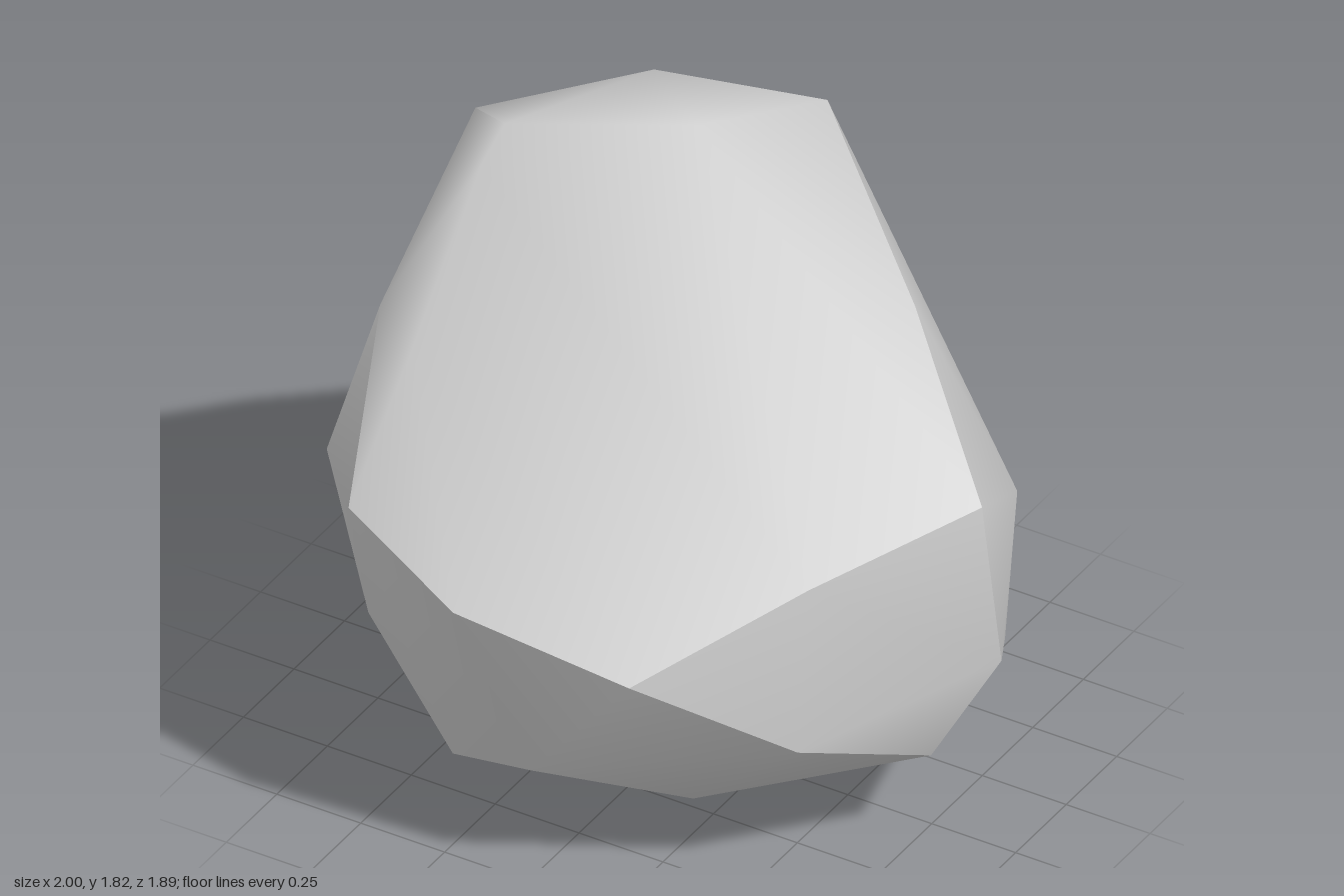
import * as THREE from 'three';
import { ConvexGeometry } from 'three/addons/geometries/ConvexGeometry.js';

// Named corners of the boulder: x, y, z
const corners = {
  // crown
  top: [-0.45, 1.82, 0.12], topFront: [-0.45, 1.76, 0.24], topMid: [-0.03, 1.81, -0.14],
  topBack: [-0.27, 1.79, -0.32], topRight: [-0.61, 1.74, 0], peak: [0.12, 1.71, -0.53],
  // front
  cheek: [-0.43, 1.42, 0.61], temple: [-0.58, 1.45, 0.52], brow: [-0.47, 1.06, 0.86],
  nose: [-0.11, 0.91, 0.94], frontTip: [0.36, 0.79, 0.85], chin: [0.03, 0.38, 0.79],
  jaw: [0.34, 0.23, 0.5],
  // left
  chipTop: [0.66, 0.97, 0.46], chipLow: [0.67, 0.51, 0.53], chipBack: [1, 0.64, 0.07],
  leftLow: [0.82, 0.31, 0.12], leftTip: [0.93, 1.08, 0.05], ridge: [0.55, 1.39, -0.25],
  leftBulge: [0.77, 0.81, -0.39],
  // back
  backRidge: [-0.17, 1.36, -0.8], backTip: [-0.47, 0.91, -0.95], backMid: [-0.04, 0.72, -0.95],
  backLow: [0.42, 0.5, -0.77], backSide: [0.74, 0.35, -0.38],
  // right
  rightRidge: [-0.81, 1.19, -0.05], rightBulge: [-0.8, 0.86, 0.42],
  rightTip: [-1, 0.55, -0.05], rightBack: [-0.79, 0.72, -0.54],
  // underside
  footFront: [-0.37, 0.12, 0.51], foot: [-0.36, 0, 0.04], footBack: [-0.26, 0.05, -0.48],
  underBack: [0.13, 0.22, -0.7], underLeft: [0.28, 0.1, -0.2],
  underRight: [-0.76, 0.28, 0.28], underCorner: [-0.71, 0.22, -0.31],
};

// Sharp chipped edges; everything else is worn smooth
const sharpLines = [
  'temple brow nose frontTip chipTop leftTip',
  'frontTip chipLow leftLow chipBack leftTip ridge peak backRidge backTip',
  'backTip backMid backLow backSide leftLow',
  'backTip rightBack rightTip rightRidge topRight top',
  'rightTip underRight footFront chin jaw',
  'footFront foot footBack underBack',
];

const edgeKey = (a, b) => [a, b].sort().join('|');
const pointKey = (v) => v.toArray().map((n) => n.toFixed(2)).join();

// Averages normals around each corner without crossing a sharp edge
function wearSmooth(geometry) {
  const sharp = new Set();
  for (const line of sharpLines) {
    const names = line.split(' ');
    for (let i = 1; i < names.length; i++) sharp.add(edgeKey(names[i - 1], names[i]));
  }
  const nameAt = {};
  for (const name in corners) nameAt[pointKey(new THREE.Vector3(...corners[name]))] = name;

  const position = geometry.attributes.position;
  const faces = [];
  for (let i = 0; i < position.count; i += 3) {
    const p = [0, 1, 2].map((j) => new THREE.Vector3().fromBufferAttribute(position, i + j));
    const normal = new THREE.Triangle(...p).getNormal(new THREE.Vector3());
    const angles = p.map((v, j) => p[(j + 1) % 3].clone().sub(v)
      .angleTo(p[(j + 2) % 3].clone().sub(v)));
    faces.push({ names: p.map((v) => nameAt[pointKey(v)]), normal, angles });
  }

  const normals = [];
  for (const face of faces) {
    for (const corner of face.names) {
      const patch = new Set([face]);
      const sum = new THREE.Vector3();
      for (const f of patch) {
        sum.addScaledVector(f.normal, f.angles[f.names.indexOf(corner)]);
        for (const g of faces) {
          if (!g.names.includes(corner)) continue;
          const other = f.names.find((n) => n !== corner && g.names.includes(n));
          if (other && !sharp.has(edgeKey(corner, other))) patch.add(g);
        }
      }
      normals.push(...sum.normalize().toArray());
    }
  }
  geometry.setAttribute('normal', new THREE.Float32BufferAttribute(normals, 3));
  return geometry;
}

export function createModel() {
  const stone = new THREE.MeshStandardMaterial({ color: 0xcccccc });
  stone.name = 'pale grey stone';

  const points = Object.values(corners).map((p) => new THREE.Vector3(...p));
  const boulder = new THREE.Mesh(wearSmooth(new ConvexGeometry(points)), stone);
  boulder.name = 'boulder';

  const group = new THREE.Group();
  group.name = 'rock';
  group.add(boulder);
  return group;
}
